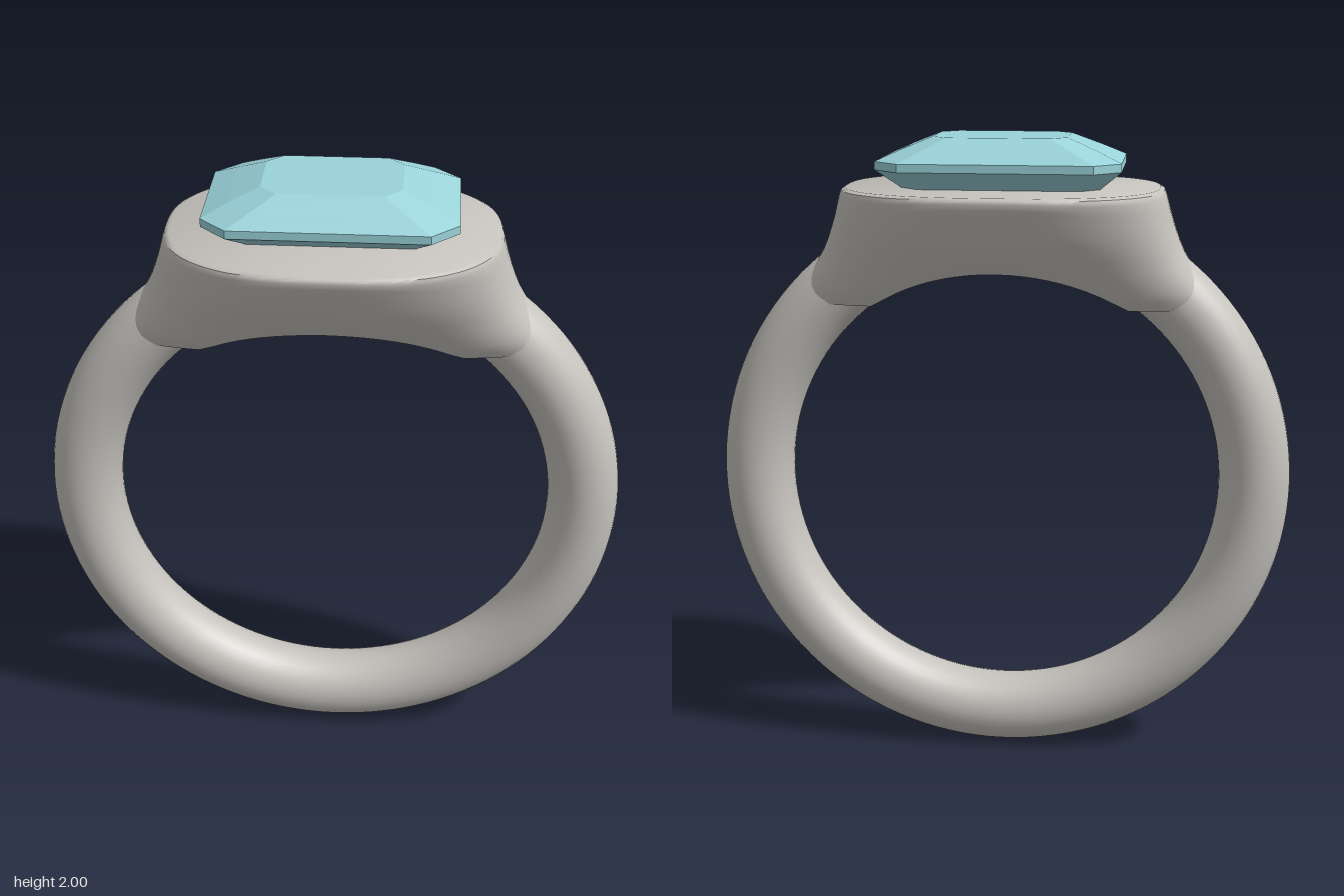
import * as THREE from 'three';
import { toCreasedNormals } from 'three/addons/utils/BufferGeometryUtils.js';

const CENTER_Y = 0.915, HOLE_R = 0.69, BAND_R = 0.1125;
const TOP = 1.845, LOW = 1.48;

// head profile: height, half width, half depth, superellipse exponent
const PROFILE = [
  [1.48, 0.66, 0.14, 3.0],
  [1.50, 0.65, 0.163, 2.9],
  [1.55, 0.625, 0.203, 2.6],
  [1.60, 0.592, 0.244, 2.4],
  [1.65, 0.562, 0.281, 2.4],
  [1.70, 0.541, 0.315, 2.4],
  [1.76, 0.522, 0.343, 2.45],
  [1.825, 0.504, 0.371, 2.5],
  [1.838, 0.498, 0.368, 2.5],
  [1.845, 0.485, 0.358, 2.5],
];

// point of the head wall at an angle and a height
function wallPoint(angle, y) {
  let k = 0;
  while (k < PROFILE.length - 2 && y > PROFILE[k + 1][0]) k++;
  const a = PROFILE[k], b = PROFILE[k + 1];
  const t = (y - a[0]) / (b[0] - a[0]);
  const [rx, rz, n] = [1, 2, 3].map((i) => THREE.MathUtils.lerp(a[i], b[i], t));
  const c = Math.cos(angle), s = Math.sin(angle);
  return [
    rx * Math.sign(c) * Math.abs(c) ** (2 / n), y,
    rz * Math.sign(s) * Math.abs(s) ** (2 / n),
  ];
}

// height at which the wall meets the finger hole, or the low ledge
function wallFoot(angle) {
  const outside = (y) => Math.hypot(wallPoint(angle, y)[0], y - CENTER_Y) > HOLE_R;
  if (outside(LOW)) return LOW;
  let lo = LOW, hi = TOP;
  for (let i = 0; i < 30; i++) {
    const mid = (lo + hi) / 2;
    if (outside(mid)) hi = mid; else lo = mid;
  }
  return hi;
}

// joins stacked closed rings, lowest first, with a flat top
function loft(rings) {
  const tri = [];
  const n = rings[0].length;
  for (let j = 0; j < rings.length - 1; j++) {
    for (let i = 0; i < n; i++) {
      const k = (i + 1) % n, lo = rings[j], up = rings[j + 1];
      tri.push(lo[i], up[i], lo[k], up[i], up[k], lo[k]);
    }
  }
  const top = rings[rings.length - 1];
  const middle = [0, top[0][1], 0];
  for (let i = 0; i < n; i++) tri.push(top[i], middle, top[(i + 1) % n]);
  return tri;
}

function toGeometry(tri) {
  const geometry = new THREE.BufferGeometry();
  geometry.setAttribute('position', new THREE.Float32BufferAttribute(tri.flat(), 3));
  geometry.computeVertexNormals();
  return geometry;
}

// flared head whose underside is cut by the finger hole
function headGeometry() {
  const N = 128;
  const steps = [0, 0.08, 0.16, 0.25, 0.35, 0.45, 0.55, 0.65, 0.75, 0.85, 0.93, 0.96, 0.98, 1];
  const angles = Array.from({ length: N }, (_, i) => (i / N) * Math.PI * 2);
  const feet = angles.map(wallFoot);
  const rings = steps.map((v) =>
    angles.map((a, i) => wallPoint(a, THREE.MathUtils.lerp(feet[i], TOP, v))));
  const tri = loft(rings);
  // underside runs straight from the front edge to the back edge
  const foot = rings[0];
  for (let i = 0; i < N / 2; i++) {
    const p = foot[i], p2 = foot[i + 1], q = foot[(N - i) % N], q2 = foot[N - i - 1];
    tri.push(p, p2, q, p2, q2, q);
  }
  return toCreasedNormals(toGeometry(tri), 0.65);
}

// step-cut stone made of stacked octagons with clipped corners
function stoneGeometry() {
  const levels = [
    [1.81, 0.24, 0.08, 0.04],
    [1.845, 0.305, 0.155, 0.06],
    [1.905, 0.372, 0.254, 0.08],
    [1.93, 0.372, 0.254, 0.08],
    [1.963, 0.298, 0.205, 0.07],
    [2.0, 0.205, 0.145, 0.05],
  ];
  return toGeometry(loft(levels.map(([y, x, z, c]) => [
    [x, y, z - c], [x - c, y, z], [c - x, y, z], [-x, y, z - c],
    [-x, y, c - z], [c - x, y, -z], [x - c, y, -z], [x, y, c - z],
  ])));
}

export function createModel() {
  const metal = new THREE.MeshStandardMaterial({ color: 0xc6c3be });
  metal.name = 'silver metal';
  const gem = new THREE.MeshStandardMaterial({ color: 0x9ad3da });
  gem.name = 'pale blue gem';

  const model = new THREE.Group();
  model.name = 'ring';
  const add = (name, geometry, material) => {
    const mesh = new THREE.Mesh(geometry, material);
    mesh.name = name;
    model.add(mesh);
    return mesh;
  };

  add('band', new THREE.TorusGeometry(HOLE_R + BAND_R, BAND_R, 32, 128), metal)
    .position.y = CENTER_Y;
  add('head', headGeometry(), metal);
  add('stone', stoneGeometry(), gem);
  return model;
}
